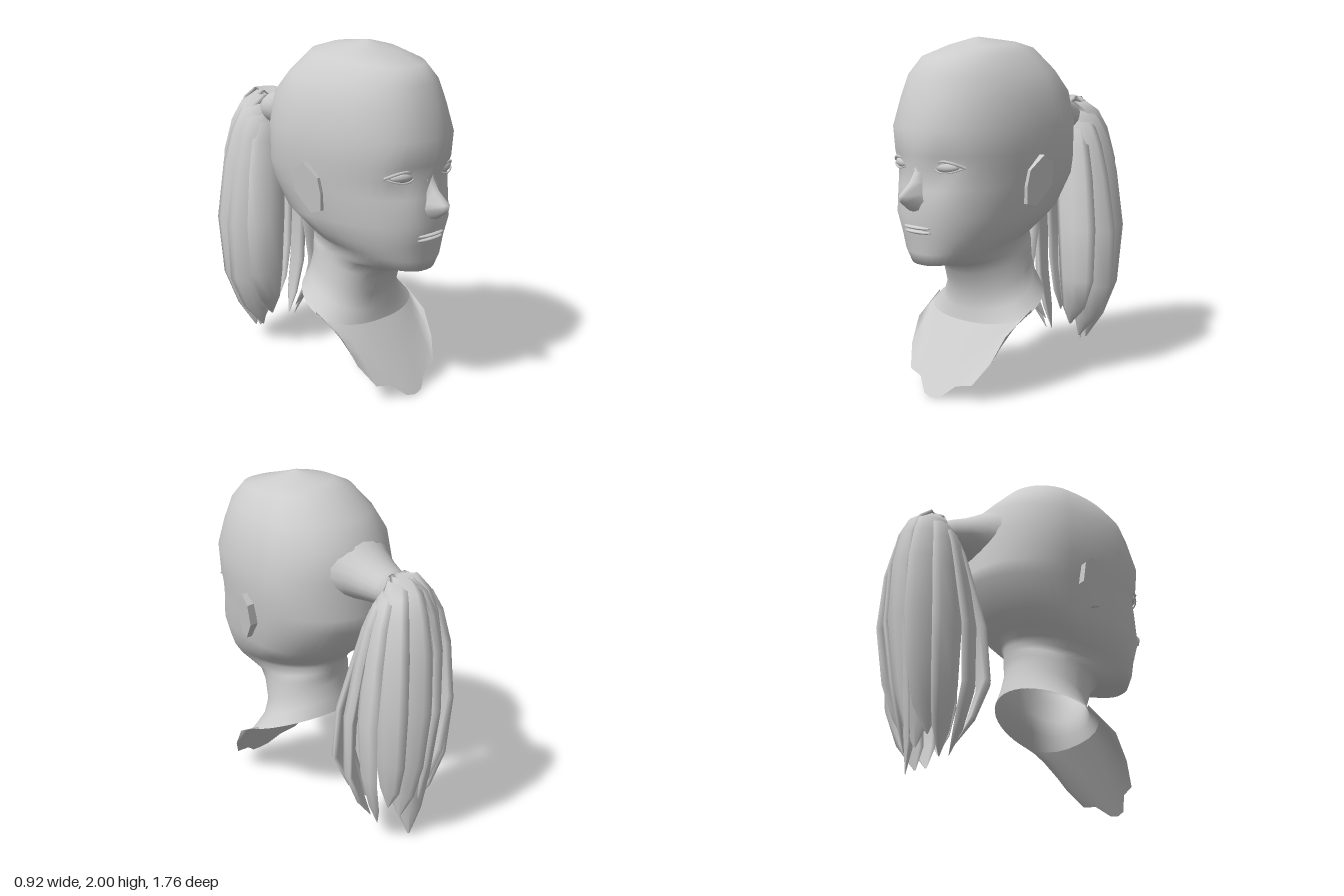
import * as THREE from 'three';

const grey = new THREE.MeshStandardMaterial({ color: 0xcccccc, side: THREE.DoubleSide });
grey.name = 'clay grey';

// Skin a list of rows of points, top to bottom, each running left to right
function skin(rows, closed) {
  const n = rows[0].length, index = [];
  const cols = closed ? n : n - 1;
  for (let r = 0; r < rows.length - 1; r++) {
    for (let c = 0; c < cols; c++) {
      const a = r * n + c, b = r * n + (c + 1) % n;
      index.push(a, a + n, b, b, a + n, b + n);
    }
  }
  const geo = new THREE.BufferGeometry();
  geo.setAttribute('position', new THREE.Float32BufferAttribute(rows.flat(2), 3));
  geo.setIndex(index);
  geo.computeVertexNormals();
  return geo;
}

function add(parent, name, geo) {
  const mesh = new THREE.Mesh(geo, grey);
  mesh.name = name;
  parent.add(mesh);
  return mesh;
}

// Head and neck sections: front y, back y, front z, back z, half width, z of widest point
const SECTIONS = [
  [2.0, 2.0, 0.241, 0.239, 0.0005, 0.24],
  [1.995, 1.995, 0.27, 0.2, 0.03, 0.235],
  [1.95, 1.97, 0.4, 0.0, 0.18, 0.2],
  [1.89, 1.94, 0.6, -0.1, 0.26, 0.16],
  [1.8, 1.81, 0.67, -0.23, 0.35, 0.1],
  [1.68, 1.69, 0.71, -0.34, 0.4, 0.08],
  [1.52, 1.52, 0.765, -0.36, 0.432, 0.06],
  [1.38, 1.38, 0.76, -0.37, 0.422, 0.06],
  [1.3, 1.3, 0.74, -0.377, 0.415, 0.06],
  [1.2, 1.22, 0.745, -0.38, 0.4, 0.07],
  [1.05, 1.04, 0.765, -0.25, 0.37, 0.14],
  [0.93, 0.97, 0.735, -0.16, 0.325, 0.22],
  [0.84, 0.93, 0.73, -0.12, 0.28, 0.25],
  [0.775, 0.9, 0.71, -0.11, 0.235, 0.25],
  [0.74, 0.86, 0.48, -0.1, 0.235, 0.16],
  [0.68, 0.82, 0.42, -0.095, 0.24, 0.15],
  [0.55, 0.77, 0.37, -0.09, 0.25, 0.15],
  [0.46, 0.68, 0.37, -0.11, 0.28, 0.17],
  [0.39, 0.6, 0.38, -0.13, 0.36, 0.2],
];

function sectionPoint([yf, yb, zf, zb, w, zc], a) {
  const s = Math.sin(a), c = Math.cos(a);
  const p = c > 0 ? 0.88 : 1;
  const x = w * Math.sign(s) * Math.abs(s) ** p;
  let z = zc + (c > 0 ? zf - zc : zb - zc) * Math.abs(c) ** p;
  const y = THREE.MathUtils.lerp(yb, yf, (z - zb) / (zf - zb));
  // shallow eye sockets
  if (c > 0) z -= 0.03 * Math.exp(-(((Math.abs(x) - 0.16) / 0.08) ** 2) - ((y - 1.31) / 0.07) ** 2);
  return [x, y, z];
}

function headGeometry() {
  const sides = 48;
  return skin(SECTIONS.map(sec =>
    Array.from({ length: sides }, (_, c) => sectionPoint(sec, c / sides * Math.PI * 2))), true);
}

// Open chest flap hanging from the front of the neck edge
function chestGeometry() {
  const half = [[0, 0, 0.65], [0.06, 0.01, 0.64], [0.14, 0.08, 0.59], [0.24, 0.1, 0.57],
    [0.31, 0.22, 0.49], [0.34, 0.36, 0.4], [0.36, 0.48, 0.2]];
  const hem = [...half.slice(1).reverse().map(([x, y, z]) => [-x, y, z]), ...half];
  const neck = SECTIONS[SECTIONS.length - 1];
  const top = hem.map((_, i) => sectionPoint(neck, (i / 12 - 0.5) * Math.PI));
  const rows = [0, 0.25, 0.5, 0.75, 1].map(t =>
    top.map((p, i) => p.map((v, j) => THREE.MathUtils.lerp(v, hem[i][j], t))));
  return skin(rows, false);
}

// Nose rows: y, ridge z, half width
function noseGeometry() {
  const rows = [[1.36, 0.742, 0.03], [1.3, 0.75, 0.035], [1.24, 0.79, 0.045], [1.175, 0.868, 0.055],
    [1.14, 0.858, 0.068], [1.09, 0.795, 0.05], [1.07, 0.74, 0.03]];
  return skin(rows.map(([y, z, w]) => [[-w * 1.5, y, 0.705], [-w, y, 0.735],
    [-w * 0.4, y, z - 0.02], [0, y, z], [w * 0.4, y, z - 0.02], [w, y, 0.735], [w * 1.5, y, 0.705]]), false);
}

// Ear outline as (depth toward the face, height), flared outward at its rear edge
function earGeometry() {
  const shape = new THREE.Shape([[0.28, 1.29], [0.2, 1.37], [0.14, 1.32], [0.13, 1.2],
    [0.22, 1.08], [0.28, 1.1], [0.29, 1.2]].map(([z, y]) => new THREE.Vector2(z, y)));
  const geo = new THREE.ExtrudeGeometry(shape, { depth: 0.05, bevelEnabled: false });
  const pos = geo.attributes.position;
  for (let i = 0; i < pos.count; i++) {
    const z = pos.getX(i), y = pos.getY(i), d = pos.getZ(i);
    const x = 0.405 + (0.29 - z) * 0.28 + (y - 1.2) * 0.12 - (0.05 - d);
    pos.setXYZ(i, x, y, z);
  }
  // the swap of axes mirrors the faces, so turn their order back
  for (let i = 0; i < pos.count; i += 3) {
    const a = new THREE.Vector3().fromBufferAttribute(pos, i + 1);
    const b = new THREE.Vector3().fromBufferAttribute(pos, i + 2);
    pos.setXYZ(i + 1, b.x, b.y, b.z);
    pos.setXYZ(i + 2, a.x, a.y, a.z);
  }
  geo.computeVertexNormals();
  return geo;
}

// One ponytail lock: a thin blade, turned edge-outward, following a drooping path
function lockGeometry(phi, tip, twist) {
  const back = Math.cos(phi), side = Math.abs(Math.sin(phi));
  const mix = (1 - back) / 2;
  const top = 1.53 + 0.09 * back;
  // fraction of height, radius at the rear, radius toward the head, half width
  const path = [[0.96, 0.0, 0.02, 0.04], [1.0, 0.06, 0.05, 0.07], [0.96, 0.13, 0.07, 0.09],
    [0.88, 0.175, 0.09, 0.105], [0.74, 0.2, 0.12, 0.12], [0.5, 0.2, 0.21, 0.125],
    [0.25, 0.16, 0.28, 0.11], [0.1, 0.145, 0.22, 0.075], [0, 0.15, 0.13, 0.005]];
  const ang = phi + twist;
  const tx = Math.cos(ang), tz = Math.sin(ang), nx = Math.sin(ang), nz = -Math.cos(ang);
  const rows = path.map(([h, rb, rf, w], i) => {
    const swell = i === 0 ? 0 : Math.sin(Math.PI * Math.min(1, (1 - h) * 0.9 + 0.1));
    const r = THREE.MathUtils.lerp(rb, rf, mix) + side * 0.08 * swell;
    const y = tip + (top - tip) * h;
    const cx = Math.sin(phi) * r, cz = -0.58 - back * r + (i === 0 ? 0.04 : 0);
    return Array.from({ length: 8 }, (_, k) => {
      const a = -k / 8 * Math.PI * 2;
      const u = Math.cos(a) * w, v = Math.sin(a) * w * 0.25 - (Math.cos(a) ** 2) * w * 0.2;
      return [cx + tx * u + nx * v, y, cz + tz * u + nz * v];
    });
  });
  return skin(rows, true);
}

// Gathered hair between the skull and the ponytail: z, centre y, half width, half height
function gatherGeometry() {
  const rows = [[-0.18, 1.56, 0.32, 0.24], [-0.27, 1.555, 0.24, 0.19], [-0.35, 1.545, 0.185, 0.15],
    [-0.44, 1.525, 0.15, 0.12], [-0.53, 1.51, 0.12, 0.1], [-0.6, 1.5, 0.09, 0.08], [-0.62, 1.5, 0.005, 0.005]];
  return skin(rows.map(([z, y, w, h]) => Array.from({ length: 20 }, (_, k) => {
    const a = k / 20 * Math.PI * 2;
    return [w * Math.cos(a), y + h * Math.sin(a), z];
  })), true);
}

export function createModel() {
  const model = new THREE.Group();
  model.name = 'head with ponytail';
  add(model, 'headAndNeck', headGeometry());
  add(model, 'chest', chestGeometry());
  add(model, 'nose', noseGeometry());

  // Eyes with lids, and ears, mirrored
  for (const s of [1, -1]) {
    const eye = add(model, 'eye', new THREE.SphereGeometry(1, 20, 12));
    eye.scale.set(0.072, 0.03, 0.03);
    eye.position.set(s * 0.165, 1.325, 0.672);
    eye.rotation.y = s * 0.3;
    for (const [name, lift, r] of [['upperLid', 0.034, 0.008], ['lowerLid', -0.028, 0.005]]) {
      const curve = new THREE.CatmullRomCurve3([[0.085, 0.697, 0], [0.13, 0.706, 0.8],
        [0.17, 0.7, 1], [0.22, 0.676, 0.7], [0.265, 0.632, 0]]
        .map(([x, z, k]) => new THREE.Vector3(s * x, 1.325 + lift * k, z)));
      add(model, name, new THREE.TubeGeometry(curve, 14, r, 6));
    }
    const ear = earGeometry();
    if (s < 0) ear.rotateY(Math.PI).scale(1, 1, -1);
    add(model, 'ear', ear);
  }

  // Lips
  for (const [name, y, z, h] of [['upperLip', 0.99, 0.735, 0.012], ['lowerLip', 0.965, 0.727, 0.013]]) {
    const lip = add(model, name, new THREE.SphereGeometry(1, 16, 10));
    lip.scale.set(0.1, h, 0.035);
    lip.position.set(0, y, z);
  }

  // Ponytail
  const tail = new THREE.Group();
  tail.name = 'ponytail';
  model.add(tail);
  add(tail, 'gatheredHair', gatherGeometry());
  const tips = [0.2, 0.12, 0.1, 0.22, 0.15, 0.02, 0.16, 0.22, 0.1, 0.12, 0.2];
  tips.forEach((tip, i) => {
    const phi = (i - 5) / 5 * 2.3;
    add(tail, 'lock', lockGeometry(phi, tip, i < 5 ? -0.6 : 0.6));
  });
  return model;
}
